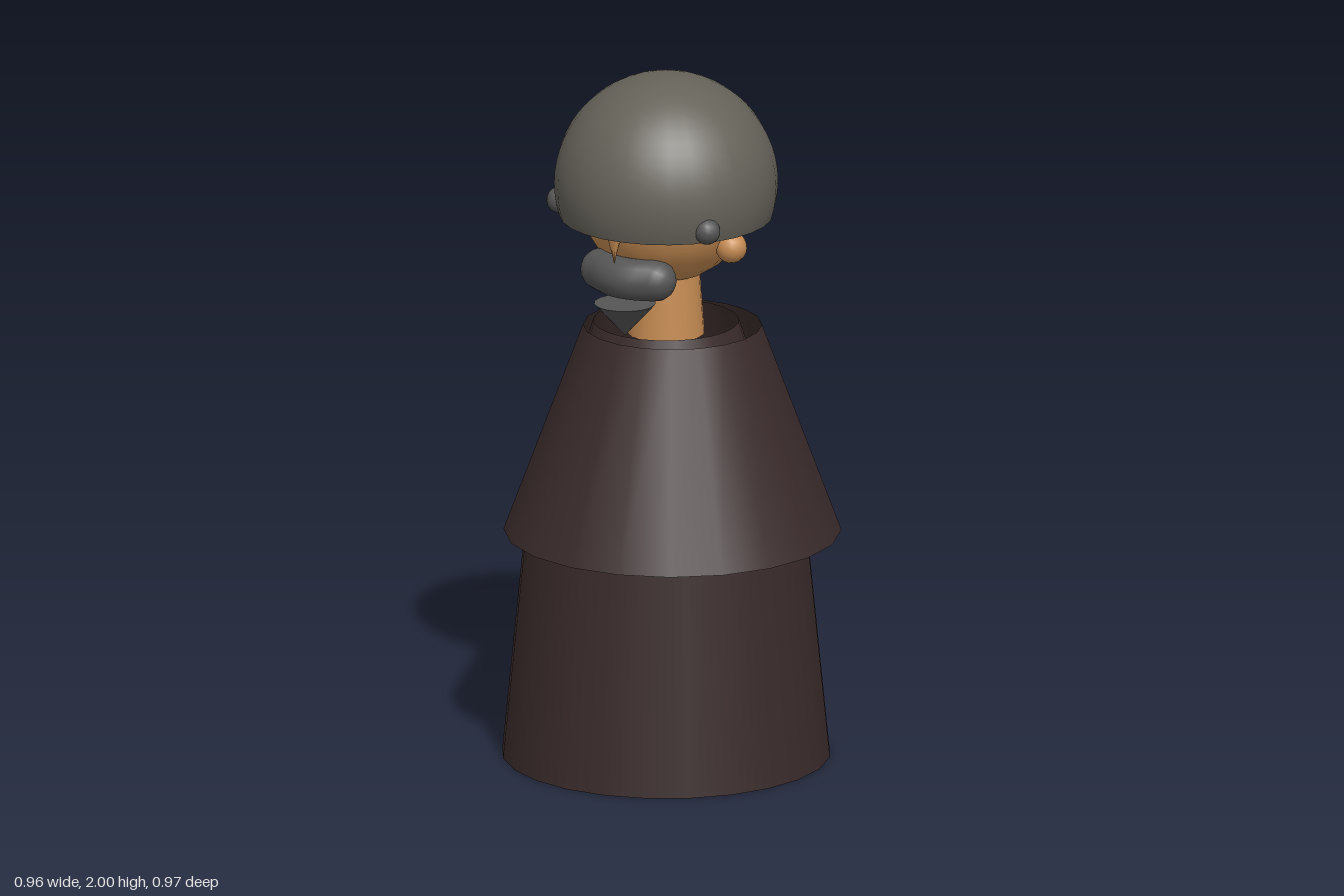
import * as THREE from 'three';

export function createModel() {
  const model = new THREE.Group();
  model.name = 'robedFigure';

  const mat = (name, color, side = THREE.FrontSide) => {
    const m = new THREE.MeshStandardMaterial({ color, side });
    m.name = name;
    return m;
  };
  const cloth = mat('dark brown cloth', 0x3a2b2b, THREE.DoubleSide);
  const skin = mat('skin', 0xc68c53);
  const cap = mat('warm grey cap', 0x656259, THREE.DoubleSide);
  const hair = mat('grey hair', 0x555555);
  const dark = mat('dark eyes', 0x333333);

  const add = (name, geo, material, x, y, z) => {
    const mesh = new THREE.Mesh(geo, material);
    mesh.name = name;
    mesh.position.set(x, y, z);
    model.add(mesh);
    return mesh;
  };
  // tapered round section between two heights
  const taper = (name, material, rTop, rBottom, y0, y1, z, sides, open = false) =>
    add(name, new THREE.CylinderGeometry(rTop, rBottom, y1 - y0, sides, 1, open),
      material, 0, (y0 + y1) / 2, z);

  // Clothing
  taper('robeSkirt', cloth, 0.397, 0.466, 0, 0.7, 0.02, 24);
  taper('robeCollar', cloth, 0.206, 0.397, 0.7, 1.275, 0.02, 24, true);
  taper('cape', cloth, 0.253, 0.478, 0.65, 1.255, -0.01, 20, true);

  // Neck and head
  taper('neck', skin, 0.095, 0.11, 1.24, 1.44, 0.02, 16);
  add('head', new THREE.SphereGeometry(0.247, 20, 14), skin, 0, 1.645, 0.02);

  // Open dome covering the upper head
  add('domeCap', new THREE.SphereGeometry(0.317, 28, 18, 0, Math.PI * 2, 0, Math.PI * 0.6),
    cap, 0, 1.683, 0.02);

  // Paired details
  for (const [side, s] of [['left', 1], ['right', -1]]) {
    add(side + 'Ear', new THREE.SphereGeometry(0.045, 14, 10), skin, s * 0.236, 1.533, 0.028);
    add(side + 'TempleCurl', new THREE.SphereGeometry(0.038, 14, 10), hair, s * 0.26, 1.62, 0.175);
    add(side + 'Eye', new THREE.SphereGeometry(0.032, 12, 8), dark, s * 0.1, 1.69, 0.225);
  }

  // Nose: slender cone pointing down
  const nose = new THREE.ConeGeometry(0.036, 0.14, 8);
  nose.rotateX(Math.PI);
  add('nose', nose, skin, 0, 1.57, 0.265);

  // Moustache: sideways capsule bent back around the face
  const moustache = new THREE.CapsuleGeometry(0.06, 0.19, 6, 16, 8);
  moustache.rotateZ(Math.PI / 2);
  const p = moustache.attributes.position;
  for (let i = 0; i < p.count; i++) {
    const x = Math.min(Math.abs(p.getX(i)), 0.1);
    p.setZ(i, p.getZ(i) - 3.2 * x * x);
  }
  moustache.computeVertexNormals();
  add('moustache', moustache, hair, 0, 1.451, 0.23);

  // Pointed beard
  const beard = new THREE.ConeGeometry(0.088, 0.096, 16);
  beard.rotateX(Math.PI);
  add('beard', beard, hair, 0, 1.324, 0.215);

  return model;
}
